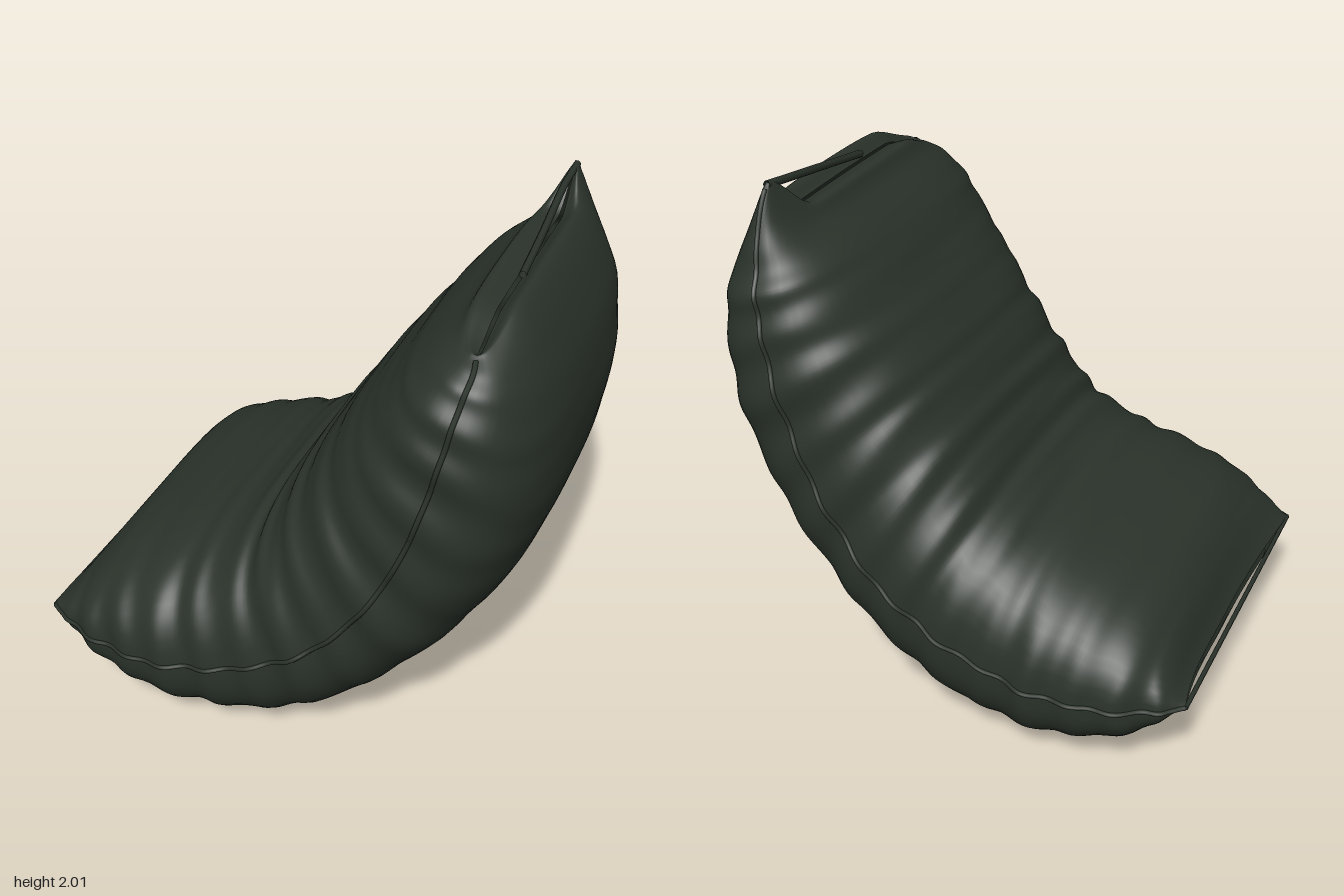
import * as THREE from 'three';

// Stations from the front lip to the top: seam x, seam y, half width, inner x, y, outer x, y
const STATIONS = [
  [-0.935, 0.36, 0.66, -0.935, 0.385, -0.935, 0.345],
  [-0.83, 0.355, 0.72, -0.83, 0.52, -0.82, 0.2],
  [-0.62, 0.355, 0.79, -0.7, 0.64, -0.67, 0.08],
  [-0.4, 0.365, 0.81, -0.48, 0.735, -0.4, 0.005],
  [-0.18, 0.405, 0.79, -0.28, 0.815, -0.13, 0.005],
  [0.05, 0.5, 0.775, -0.12, 0.925, 0.12, 0.075],
  [0.25, 0.66, 0.765, -0.01, 1.09, 0.39, 0.275],
  [0.42, 0.9, 0.755, 0.1, 1.265, 0.645, 0.57],
  [0.54, 1.17, 0.75, 0.2, 1.42, 0.84, 0.92],
  [0.62, 1.45, 0.74, 0.32, 1.58, 0.932, 1.27],
  [0.665, 1.66, 0.7, 0.43, 1.73, 0.92, 1.58],
  [0.688, 1.8, 0.615, 0.55, 1.83, 0.845, 1.78],
  [0.68, 1.87, 0.55, 0.595, 1.88, 0.75, 1.895],
  [0.68, 1.87, 0.54, 0.67, 1.86, 0.685, 1.86],
];
const LAST = STATIONS.length - 1;
const curve = (a, b, c) => new THREE.CatmullRomCurve3(
  STATIONS.map((s) => new THREE.Vector3(s[a], s[b], c === undefined ? 0 : s[c])), false, 'catmullrom', 0.5);
const seamCurve = curve(0, 1, 2);
const innerCurve = curve(3, 4);
const outerCurve = curve(5, 6);
const step = THREE.MathUtils.smoothstep;
const hump = (k, centre, spread) => Math.exp(-(((k - centre) / spread) ** 2));

// Surface point at station k, u from -1 to 1 across the width, on the inner or outer side
function bagPoint(k, u, inner) {
  const seam = seamCurve.getPoint(k / LAST);
  const side = (inner ? innerCurve : outerCurve).getPoint(k / LAST);
  const body = step(k, 0.2, 1.5) * (1 - step(k, 9.5, 11.5));
  const a = Math.abs(u);

  // Pillow section, rounder at the lower back
  const power = inner ? 3.4 : 3.4 - 0.6 * hump(k, 6.3, 1.8);
  let h = Math.pow(Math.max(0, 1 - a ** power), 0.42);

  // Cloth folds, strongest along the seams and in the bend of the seat
  const bend = inner ? hump(k, 5.2, 1.3) : 0;
  const fold = Math.sin(k * 7.4 + Math.sin(u * 2.3 + k) * 1.5) + 0.4 * Math.sin(k * 13.5 + u * 1.8);
  h += body * h * fold * (0.004 + 0.013 * a ** 3 + 0.013 * bend);
  const ripple = Math.sin(k * 8.3 + (u > 0 ? 1 : 0)) + 0.5 * Math.sin(k * 4.7 + u);
  const width = seam.z * (1 + 0.012 * body * ripple * a);

  // Top corners: one pinched and pulled up to a point, the other drooping
  const top = step(k, 10.2, 12);
  const peak = top * step(-u, 0.68, 1);
  const flat = h * (1 - 0.6 * peak);
  const p = new THREE.Vector3(
    seam.x + (side.x - seam.x) * flat,
    Math.max(0, seam.y + (side.y - seam.y) * flat),
    u * width);
  p.y += 0.13 * peak + top * (0.012 * (1 - u * u) - 0.055 * step(u, 0.55, 1));

  // Front lip sags inward between its corners
  const lip = 1 - step(k, 0, 1.5);
  p.x += lip * (0.045 * Math.cos((u + 0.3) * 1.25) * (1 - a ** 4) + 0.03 * step(-u, 0.2, 1));
  return p;
}

// Body built from looped cross-sections
function bagGeometry() {
  const rows = 208, half = 36, ring = half * 2;
  const pos = [], index = [];
  for (let i = 0; i <= rows; i++) {
    const k = (i / rows) * LAST;
    for (let j = 0; j < ring; j++) {
      const inner = j <= half;
      const f = inner ? j / half : 2 - j / half;
      const u = Math.sin((f - 0.5) * Math.PI);
      pos.push(...bagPoint(k, u, inner).toArray());
      if (i < rows) {
        const a = i * ring + j, b = i * ring + ((j + 1) % ring);
        index.push(a, b, a + ring, b, b + ring, a + ring);
      }
    }
  }
  const g = new THREE.BufferGeometry();
  g.setAttribute('position', new THREE.Float32BufferAttribute(pos, 3));
  g.setIndex(index);
  g.computeVertexNormals();
  return g;
}

export function createModel() {
  const group = new THREE.Group();
  const fabric = new THREE.MeshStandardMaterial({ color: 0x2b332b });
  fabric.name = 'dark green fabric';
  fabric.side = THREE.DoubleSide;

  const add = (name, geometry) => {
    const m = new THREE.Mesh(geometry, fabric);
    m.name = name;
    group.add(m);
  };
  const tube = (pts, radius, n) => new THREE.TubeGeometry(new THREE.CatmullRomCurve3(pts), n, radius, 6);

  add('bagBody', bagGeometry());

  // Piping along both side seams
  for (const s of [-1, 1]) {
    const pts = [];
    for (let k = 0; k <= 11.8; k += 0.1) pts.push(bagPoint(k, s, true));
    add(s > 0 ? 'leftSeam' : 'rightSeam', tube(pts, 0.009, 240));
  }

  // Loose strap across the front lip
  const a = bagPoint(0, -1, true), b = bagPoint(0, 1, true);
  add('frontStrap', tube([a, a.clone().lerp(b, 0.5), b], 0.009, 16));

  // Loose strap from the raised top corner to the middle of the top edge
  add('topStrap', tube([
    bagPoint(12, -1, true), new THREE.Vector3(0.675, 1.978, -0.4),
    new THREE.Vector3(0.685, 1.93, -0.12), new THREE.Vector3(0.69, 1.89, 0.12),
  ], 0.014, 20));
  return group;
}
